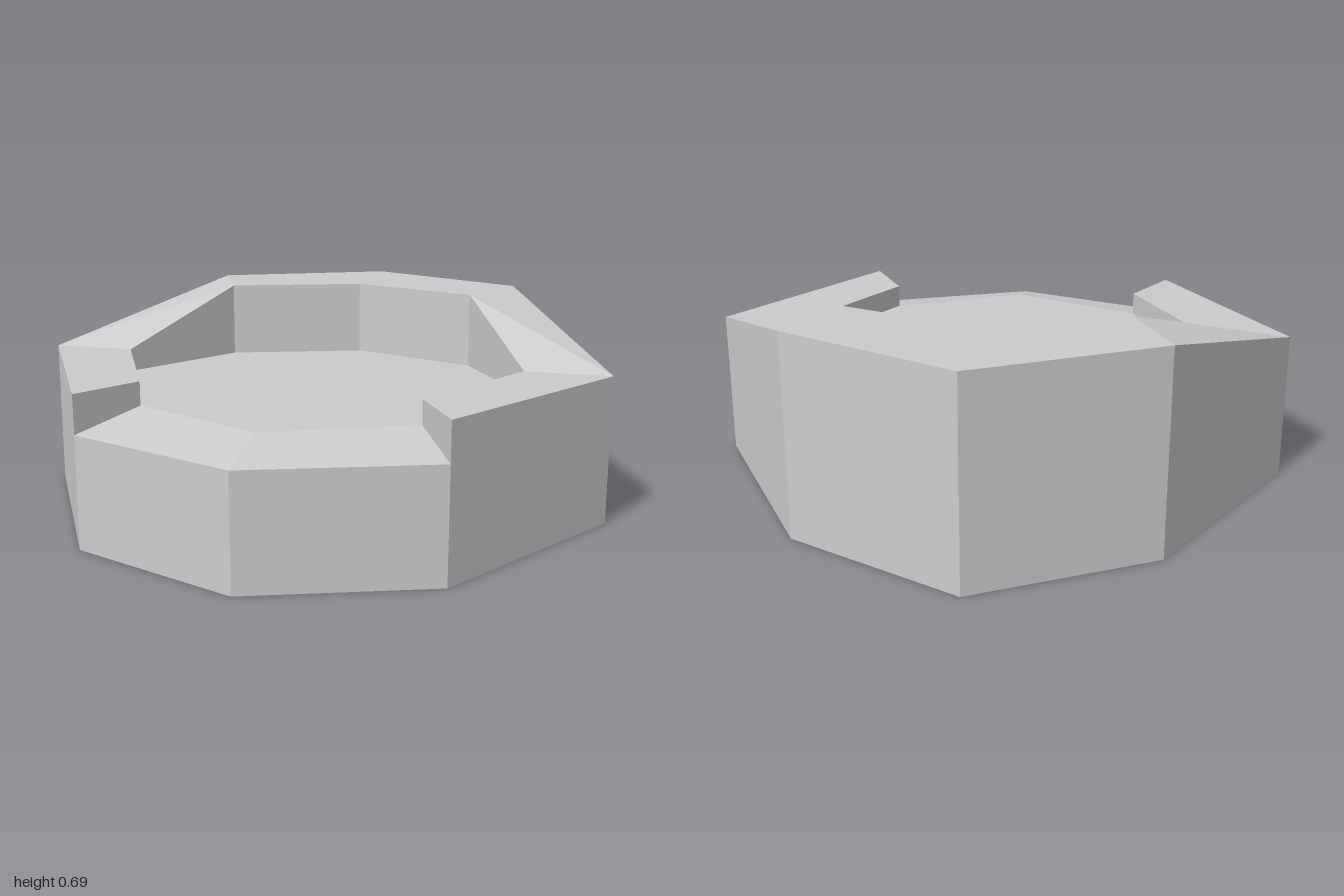
import * as THREE from 'three';

const FLOOR = 0.425;
const LIP = 0.375;

// Mirrors five half-ring points (back to front) into a full ring of eight [x, z]
const ring = (half) => [...half, ...half.slice(1, 4).reverse().map(([x, z]) => [-x, z])];

const outer = ring([[0, -0.963], [0.585, -0.67], [1, 0.033], [0.585, 0.738], [0, 0.963]]);
const inner = ring([[0, -0.567], [0.46, -0.39], [0.71, 0.033], [0.46, 0.516], [0, 0.735]]);
const rimHeight = [0.69, 0.69, 0.505, 0.505, LIP, 0.505, 0.505, 0.69];

const at = ([x, z], y) => [x, y, z];

// Flat faceted mesh from a list of triangles and quads
function facets(name, faces) {
  const corners = faces.flatMap((f) => (f.length === 3 ? f : [f[0], f[1], f[2], f[0], f[2], f[3]]));
  const geometry = new THREE.BufferGeometry();
  geometry.setAttribute('position', new THREE.Float32BufferAttribute(corners.flat(), 3));
  geometry.computeVertexNormals();
  const material = new THREE.MeshStandardMaterial({ color: 0xcccccc, flatShading: true });
  const mesh = new THREE.Mesh(geometry, material);
  mesh.name = name;
  return mesh;
}

export function createModel() {
  const outerWall = [], rim = [], innerWall = [], lip = [], cheeks = [], floor = [], base = [];

  for (let i = 0; i < 8; i++) {
    const j = (i + 1) % 8;
    const isFront = i === 3 || i === 4;
    const ha = isFront ? LIP : rimHeight[i];
    const hb = isFront ? LIP : rimHeight[j];

    // Outside wall of this sector
    const aOut = at(outer[i], ha), bOut = at(outer[j], hb);
    outerWall.push([at(outer[j], 0), at(outer[i], 0), aOut, bOut]);

    // Top surface: high rim, or low sloping lip across the front
    const aIn = at(inner[i], isFront ? FLOOR : ha);
    const bIn = at(inner[j], isFront ? FLOOR : hb);
    (isFront ? lip : rim).push(i < 4 ? [aIn, bIn, bOut, aOut] : [aOut, aIn, bIn, bOut]);

    // Inside wall above the floor
    const aFloor = at(inner[i], FLOOR), bFloor = at(inner[j], FLOOR);
    if (!isFront) innerWall.push([aFloor, bFloor, bIn, aIn]);

    // Floor and underside fans
    floor.push([[0, FLOOR, 0], bFloor, aFloor]);
    base.push([[0, 0, 0], at(outer[i], 0), at(outer[j], 0)]);
  }

  // End faces where the rim steps down to the lip
  for (const k of [3, 5]) {
    const face = [at(inner[k], FLOOR), at(outer[k], LIP), at(outer[k], rimHeight[k]), at(inner[k], rimHeight[k])];
    cheeks.push(k === 3 ? face : face.reverse());
  }

  const model = new THREE.Group();
  model.name = 'octagonalBasin';
  model.add(
    facets('outerWall', outerWall),
    facets('rim', rim),
    facets('innerWall', innerWall),
    facets('frontLip', lip),
    facets('rimEnds', cheeks),
    facets('floor', floor),
    facets('base', base),
  );
  return model;
}
